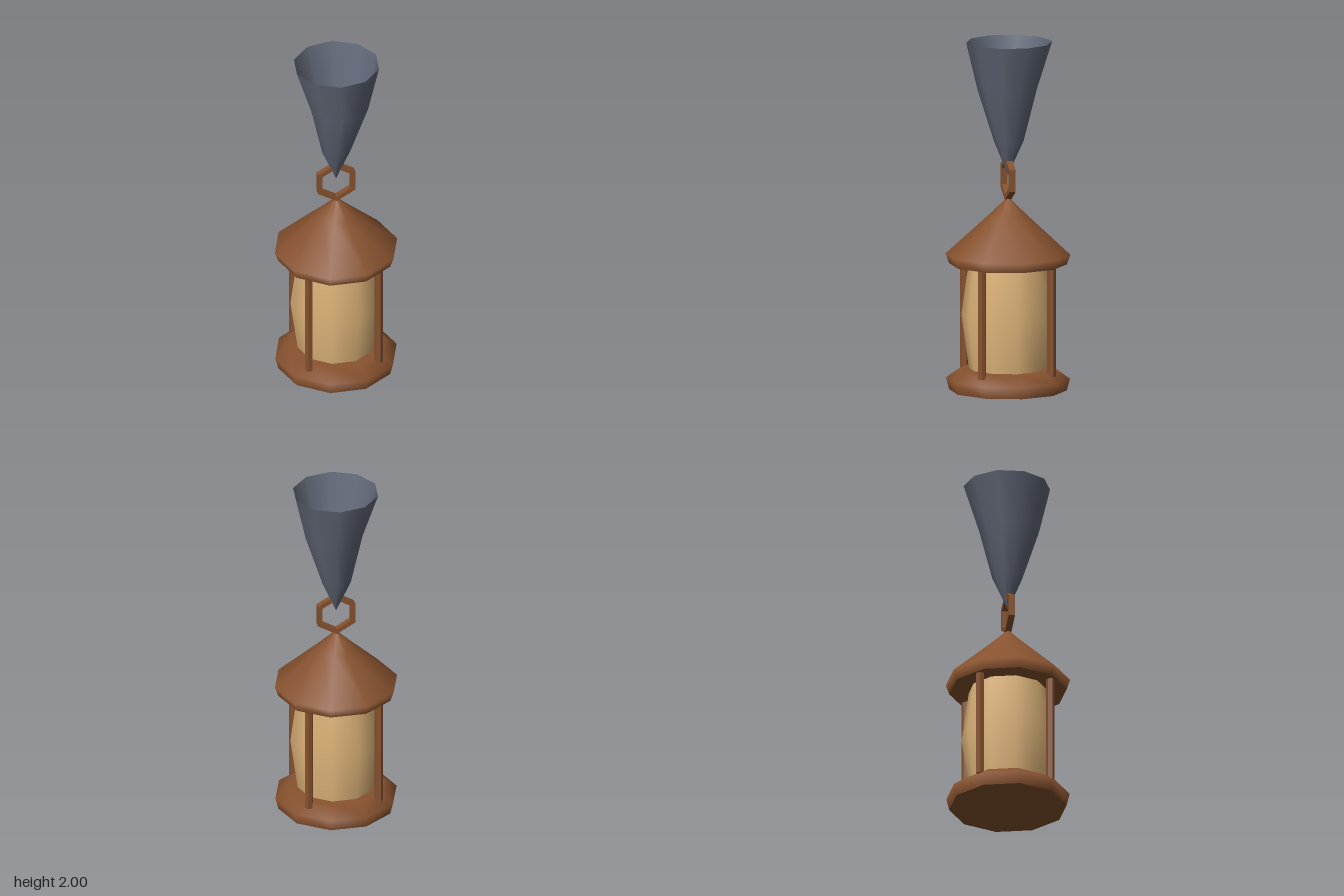
import * as THREE from 'three';

export function createModel() {
  const group = new THREE.Group();
  const mat = (name, color, side = THREE.FrontSide) => {
    const m = new THREE.MeshStandardMaterial({ color, side });
    m.name = name;
    return m;
  };
  const wood = mat('brown frame', 0x87522f);
  const paper = mat('warm glass', 0xdfb57a);
  const slate = mat('slate hanger', 0x626979, THREE.DoubleSide);

  const add = (name, geometry, material) => {
    const mesh = new THREE.Mesh(geometry, material);
    mesh.name = name;
    group.add(mesh);
    return mesh;
  };
  // Ten-sided turned shape, profile from bottom to top, with a corner on +x
  const turned = (profile, start = Math.PI / 2) =>
    new THREE.LatheGeometry(profile.map(([r, y]) => new THREE.Vector2(r, y)), 10, start);
  // Flat ten-sided cap facing down
  const underside = (name, r, y) => {
    const cap = add(name, new THREE.CircleGeometry(r, 10), wood);
    cap.rotation.x = Math.PI / 2;
    cap.position.y = y;
  };

  // Base
  add('base', turned([[0.335, 0], [0.352, 0.068], [0.27, 0.125], [0, 0.125]]), wood);
  underside('baseUnderside', 0.335, 0);

  // Bulging glass
  add('glass', turned([[0.222, 0.12], [0.265, 0.43], [0.222, 0.74]]), paper);

  // Corner posts
  for (const x of [-0.203, 0.203]) {
    for (const z of [-0.203, 0.203]) {
      const post = add('post', new THREE.CylinderGeometry(0.025, 0.025, 0.65, 6).toNonIndexed(), wood);
      post.geometry.computeVertexNormals();
      post.position.set(x, 0.425, z);
      post.rotation.y = Math.atan2(x, z) + Math.PI / 6;
    }
  }

  // Roof
  add('roof', turned([[0.335, 0.725], [0.355, 0.78], [0.115, 1.0], [0, 1.11]]), wood);
  underside('roofUnderside', 0.335, 0.725);

  // Six-sided hanging ring
  const hexagon = (path, r) => {
    const pts = [];
    for (let i = 0; i < 6; i++) {
      const a = (i + 0.5) * Math.PI / 3;
      pts.push(new THREE.Vector2(r * Math.cos(a), r * Math.sin(a)));
    }
    return path.setFromPoints(pts);
  };
  const ringShape = hexagon(new THREE.Shape(), 0.125);
  ringShape.holes.push(hexagon(new THREE.Path(), 0.094));
  const ring = add('ring', new THREE.ExtrudeGeometry(ringShape, { depth: 0.036, bevelEnabled: false }), wood);
  ring.position.set(0, 1.217, -0.018);

  // Open, slightly bent hanger cone: each row is radius, height, x shift, z shift
  const rows = [[0, 1.235, 0, 0], [0.085, 1.43, 0, -0.005], [0.17, 1.73, 0.015, 0.008], [0.246, 2, 0.004, -0.006]];
  const cone = turned(rows, -0.11);
  const p = cone.attributes.position;
  for (let i = 0; i < p.count; i++) {
    const [, , dx, dz] = rows[i % rows.length];
    p.setX(i, p.getX(i) + dx);
    p.setZ(i, p.getZ(i) + dz);
  }
  add('hangerCone', cone, slate);

  return group;
}
